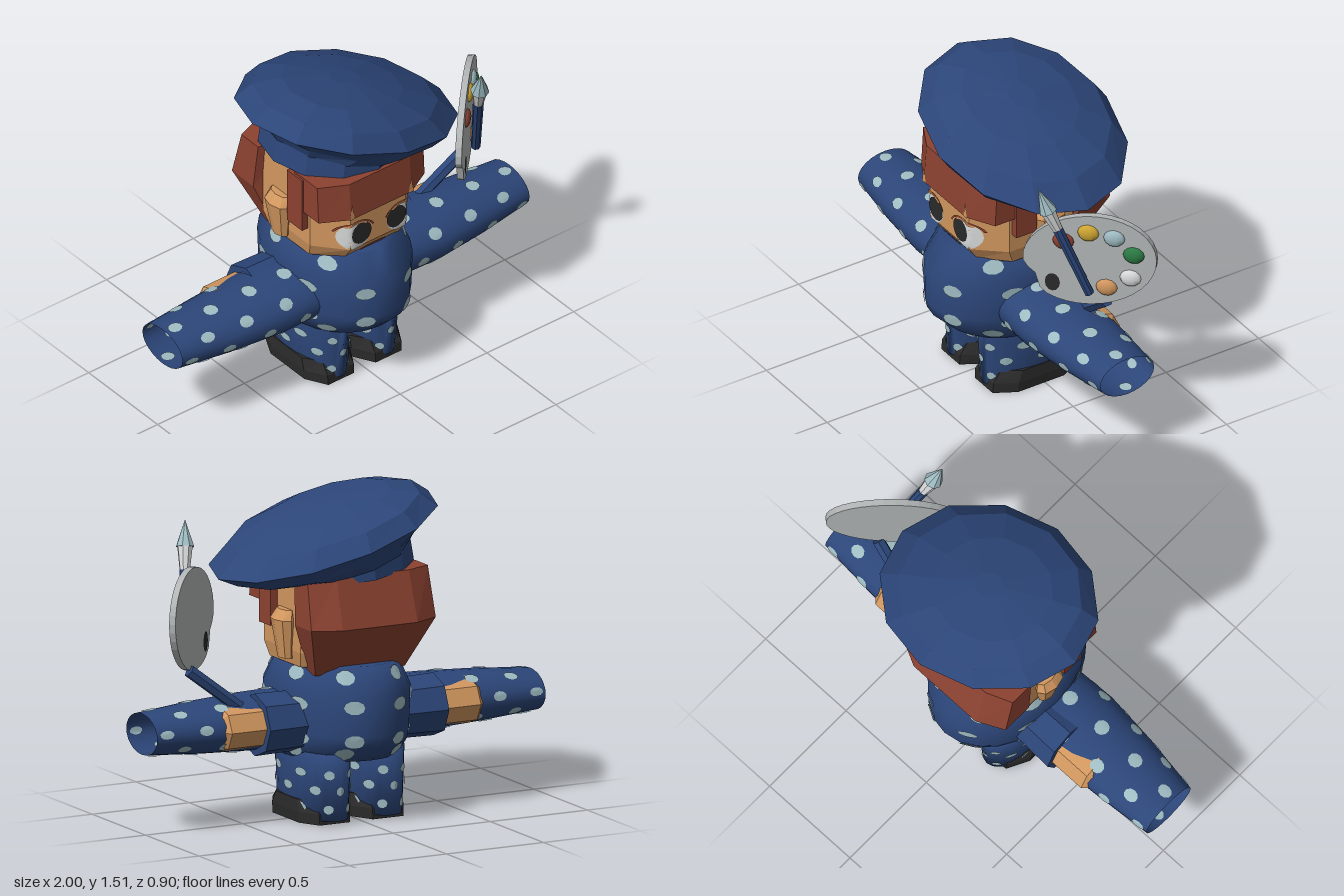
import * as THREE from 'three';
import { mergeGeometries } from 'three/addons/utils/BufferGeometryUtils.js';

const mat = (name, color, side = THREE.FrontSide) => {
  const m = new THREE.MeshStandardMaterial({ color, side });
  m.name = name;
  return m;
};
const navy = mat('navy', 0x2c4679, THREE.DoubleSide), pale = mat('paleBlue', 0x9fbcc3, THREE.DoubleSide);
const skin = mat('skin', 0xd2975f), hair = mat('auburn', 0x8c4231), black = mat('black', 0x2a2a2a);
const white = mat('white', 0xd9dadb), grey = mat('paletteGrey', 0xb2b6b6);
const yellow = mat('yellow', 0xcfa733), green = mat('green', 0x2c7c44);

// Unit cross-sections as [x, z], running from the front towards +x
const circle = (n) => Array.from({ length: n }, (_, i) => {
  const a = (i / n) * Math.PI * 2;
  return [Math.sin(a), Math.cos(a)];
});
const chamfer = [[-0.57, 1], [0.57, 1], [1, 0.55], [1, -0.55], [0.6, -1], [-0.6, -1], [-1, -0.55], [-1, 0.55]];

// Skin over rings [y, halfWidth, halfDepth, centreX, centreZ]
function loft(poly, rings, { smooth = false, open = false } = {}) {
  const n = poly.length, pos = [], idx = [];
  for (const [y, sx, sz, cx = 0, cz = 0] of rings)
    for (const [x, z] of poly) pos.push(cx + x * sx, y, cz + z * sz);
  for (let j = 0; j < rings.length - 1; j++)
    for (let i = 0; i < n; i++) {
      const a = j * n + i, b = j * n + ((i + 1) % n);
      idx.push(a, b, b + n, a, b + n, a + n);
    }
  if (!open) {
    const top = (rings.length - 1) * n;
    for (let i = 1; i < n - 1; i++) idx.push(0, i + 1, i, top, top + i, top + i + 1);
  }
  let g = new THREE.BufferGeometry();
  g.setAttribute('position', new THREE.Float32BufferAttribute(pos, 3));
  g.setIndex(idx);
  if (!smooth) g = g.toNonIndexed();
  g.computeVertexNormals();
  return g;
}

// Point on a lofted surface, pushed out by off
function surf(poly, rings, u, y, off) {
  let j = 0;
  while (j < rings.length - 2 && y > rings[j + 1][0]) j++;
  const A = rings[j], B = rings[j + 1], t = (y - A[0]) / (B[0] - A[0]);
  const mix = (k) => (A[k] || 0) * (1 - t) + (B[k] || 0) * t;
  const n = poly.length, f = (((u % 1) + 1) % 1) * n, i = Math.floor(f) % n, w = f - Math.floor(f);
  const p = poly[i], q = poly[(i + 1) % n];
  const x = p[0] + (q[0] - p[0]) * w, z = p[1] + (q[1] - p[1]) * w;
  return [mix(3) + x * (mix(1) + off), y, mix(4) + z * (mix(2) + off)];
}

// Thin spots laid on a lofted surface; list holds [degrees, y]
function spots(poly, rings, list, du, dv, offs = [0.006]) {
  const all = [];
  for (const off of offs)
    for (const [deg, y] of list) {
      const g = new THREE.RingGeometry(0.001, 1, 10, 2), p = g.attributes.position;
      for (let i = 0; i < p.count; i++)
        p.setXYZ(i, ...surf(poly, rings, (deg + p.getX(i) * du) / 360, y + p.getY(i) * dv, off));
      g.computeVertexNormals();
      all.push(g);
    }
  return mergeGeometries(all);
}

function add(parent, name, geo, material, pos = [0, 0, 0], rot = [0, 0, 0]) {
  const m = new THREE.Mesh(geo, material);
  m.name = name;
  m.position.set(...pos);
  m.rotation.set(...rot);
  parent.add(m);
  return m;
}

// Rod between two points
function rod(parent, name, material, a, b, r0, r1, sides = 8) {
  const A = new THREE.Vector3(...a), d = new THREE.Vector3(...b).sub(A);
  const g = new THREE.CylinderGeometry(r1, r0, d.length(), sides).toNonIndexed();
  g.computeVertexNormals();
  const m = add(parent, name, g, material, A.addScaledVector(d, 0.5).toArray());
  m.quaternion.setFromUnitVectors(new THREE.Vector3(0, 1, 0), d.normalize());
}

// Thin oval bent over the front of the face
const faceZ = (x, y) => 0.34 - Math.max(0, Math.abs(x) - 0.16) * 1.17 - Math.max(0, 0.79 - y) * 0.72;
function faceOval(parent, name, material, cx, cy, rx, ry, off, start = 0, len = Math.PI * 2, inner = 0.001) {
  const g = new THREE.RingGeometry(inner, 1, 20, 6, start, len), p = g.attributes.position;
  for (let i = 0; i < p.count; i++) {
    const x = cx + p.getX(i) * rx, y = cy + p.getY(i) * ry;
    p.setXYZ(i, x, y, faceZ(x, y) + off);
  }
  g.computeVertexNormals();
  add(parent, name, g, material);
}

export function createModel() {
  const model = new THREE.Group();
  const c24 = circle(24), c12 = circle(12), c8 = circle(8);

  // Torso with spots
  const torso = [[0.295, 0.27, 0.32, 0, 0.03], [0.37, 0.295, 0.395, 0, 0.03], [0.42, 0.3, 0.408, 0, 0.027],
    [0.6, 0.31, 0.408, 0, 0.027], [0.735, 0.255, 0.33, 0, 0.025]];
  add(model, 'torso', loft(c24, torso, { smooth: true }), navy);
  const torsoSpots = [];
  for (const s of [-1, 1]) {
    for (const d of [52, 106, 152]) torsoSpots.push([s * d, 0.69], [s * d, 0.335]);
    for (const d of [23, 68, 113, 158]) torsoSpots.push([s * d, 0.56], [s * d, 0.4]);
  }
  add(model, 'torsoSpots', spots(c24, torso, torsoSpots, 8.5, 0.032), pale);

  for (const s of [-1, 1]) {
    const side = s > 0 ? 'left' : 'right';

    // Trouser leg and shoe
    const leg = [[0.02, 0.122, 0.25, s * 0.138], [0.33, 0.128, 0.27, s * 0.138]];
    add(model, side + 'Leg', loft(c24, leg, { smooth: true }), navy);
    const legSpots = [];
    for (let k = 0; k < 8; k++) for (const y of [0.075, 0.235]) legSpots.push([k * 45 + 22.5, y], [k * 45, y - 0.085 + 0.01]);
    add(model, side + 'LegSpots', spots(c24, leg, legSpots.filter((q) => q[1] > 0.04), 9, 0.021), pale);
    add(model, side + 'Shoe', loft(chamfer, [[0, 0.13, 0.225, s * 0.137, 0.02], [0.05, 0.133, 0.222, s * 0.137, 0.02],
      [0.105, 0.127, 0.18, s * 0.137, 0.02]]), black);

    // Wide open sleeve, spotted inside and out
    const arm = new THREE.Group();
    arm.name = side + 'Arm';
    arm.position.y = 0.46;
    arm.rotation.z = -s * Math.PI / 2;
    model.add(arm);
    const sleeve = [[0.22, 0.135, 0.19, 0, 0.05], [0.45, 0.13, 0.2, 0, 0.05], [0.72, 0.117, 0.178, 0, 0.045], [1, 0.095, 0.145, 0, 0.035]];
    add(arm, side + 'Sleeve', loft(c24, sleeve, { smooth: true, open: true }), navy);
    const armSpots = [];
    for (let k = 0; k < 8; k++)
      for (const y of k % 2 ? [0.43, 0.645, 0.85] : [0.34, 0.54, 0.755, 0.95]) armSpots.push([k * 45 + s * 10, y]);
    add(arm, side + 'SleeveSpots', spots(c24, sleeve, armSpots, 11, 0.035, [0.005, -0.005]), pale);
    // Inner arm cuff and hand
    add(arm, side + 'Cuff', loft(c8, [[0.22, 0.14, 0.14, 0, -0.04], [0.46, 0.145, 0.15, 0, -0.04]]), navy);
    add(arm, side + 'Hand', loft(c8, [[0.44, 0.11, 0.13, 0, -0.03], [0.64, 0.11, 0.13, 0, -0.03], [0.67, 0.085, 0.1, 0, -0.03]]), skin);

    // Ear and sideburn
    add(model, side + 'Ear', loft(c8, [[0.75, 0.03, 0.05, s * 0.285, -0.01], [0.93, 0.05, 0.08, s * 0.297, -0.01],
      [0.975, 0.03, 0.06, s * 0.285, -0.01]]), skin);
    add(model, side + 'Sideburn', new THREE.BoxGeometry(0.05, 0.28, 0.11), hair, [s * 0.29, 1.02, 0.13]);

    // Eye
    faceOval(model, side + 'EyeWhite', white, s * 0.127, 0.86, 0.08, 0.078, 0.004);
    faceOval(model, side + 'Pupil', black, s * 0.1, 0.866, 0.056, 0.058, 0.008);
    faceOval(model, side + 'Eyelid', skin, s * 0.127, 0.875, 0.09, 0.07, 0.011, 0.75, Math.PI - 1.5, 0.75);
    faceOval(model, side + 'EyelidLine', hair, s * 0.127, 0.87, 0.1, 0.072, 0.012, 0.3, Math.PI - 0.6, 0.9);
    // Gap in the fringe
    const gap = new THREE.Shape([[-0.015, 0], [0.015, 0], [0, 0.085]].map((q) => new THREE.Vector2(...q)));
    add(model, side + 'FringeGap', new THREE.ShapeGeometry(gap), skin, [s * 0.17, 0.98, 0.367]);
  }

  // Head, mouth and hair
  add(model, 'head', loft(chamfer, [[0.72, 0.265, 0.26, 0, 0.03], [0.79, 0.28, 0.31, 0, 0.03], [1.15, 0.28, 0.31, 0, 0.03]]), skin);
  faceOval(model, 'mouth', hair, -0.01, 0.748, 0.075, 0.022, 0.006);
  add(model, 'fringe', loft(chamfer, [[0.98, 0.305, 0.16, 0, 0.205], [1.17, 0.305, 0.15, 0, 0.2]]), hair);
  add(model, 'backHair', loft(chamfer, [[0.69, 0.23, 0.065, 0, -0.155], [0.93, 0.32, 0.14, 0, -0.24], [1.16, 0.31, 0.11, 0, -0.2]]), hair);

  // Beret with its band
  add(model, 'beretBand', loft(c12, [[0, 0.335, 0.34], [0.13, 0.325, 0.34]]), navy, [0, 1.137, 0], [0, 0, -0.11]);
  add(model, 'beret', loft(c12, [[-0.12, 0.335, 0.345, -0.04], [-0.067, 0.45, 0.4, 0.025], [0, 0.56, 0.45],
    [0.08, 0.46, 0.39, -0.03], [0.13, 0.3, 0.26, -0.06], [0.16, 0.08, 0.06, -0.05]]), navy, [0.085, 1.29, 0], [0, 0, -0.27]);

  // Palette held on a rod
  rod(model, 'paletteRod', navy, [0.54, 0.55, -0.04], [0.775, 0.735, 0], 0.03, 0.03, 6);
  const palette = new THREE.Group();
  palette.name = 'palette';
  palette.position.set(0.73, 0.96, 0.06);
  palette.rotation.y = Math.PI / 4;
  model.add(palette);
  const outline = [];
  for (let k = 0; k < 36; k++) {
    const a = (k / 36) * Math.PI * 2, r = 1 - 0.14 * Math.exp(-(((a - 3.35) / 0.25) ** 2));
    outline.push(new THREE.Vector2(r * 0.315 * Math.cos(a), r * 0.235 * Math.sin(a)).rotateAround(new THREE.Vector2(), 0.25));
  }
  const board = new THREE.ExtrudeGeometry(new THREE.Shape(outline), { depth: 0.03, bevelEnabled: false });
  add(palette, 'paletteBoard', board, grey, [0, 0, -0.015]);
  const dabs = [['redPaint', hair, -0.12, 0.09], ['yellowPaint', yellow, -0.005, 0.148], ['bluePaint', pale, 0.115, 0.135],
    ['greenPaint', green, 0.205, 0.055], ['whitePaint', white, 0.19, -0.07], ['orangePaint', skin, 0.08, -0.135]];
  for (const [name, m, x, y] of dabs) add(palette, name, new THREE.SphereGeometry(1, 10, 6), m, [x, y, 0.015]).scale.set(0.05, 0.043, 0.022);
  for (const [name, z, ry] of [['thumbHoleFront', 0.017, 0], ['thumbHoleBack', -0.017, Math.PI]])
    add(palette, name, new THREE.CircleGeometry(1, 12), black, [-0.17, -0.14, z], [0, ry, 0]).scale.set(0.035, 0.047, 1);

  // Paintbrush in front of the palette
  const b1 = [0.685, 1.15, 0.205], b2 = [0.663, 1.25, 0.243];
  rod(model, 'brushHandle', navy, [0.765, 0.8, 0.085], b1, 0.022, 0.025);
  rod(model, 'brushFerrule', white, b1, b2, 0.024, 0.036);
  rod(model, 'brushTip', pale, b2, [0.643, 1.365, 0.28], 0.043, 0.001);
  return model;
}
